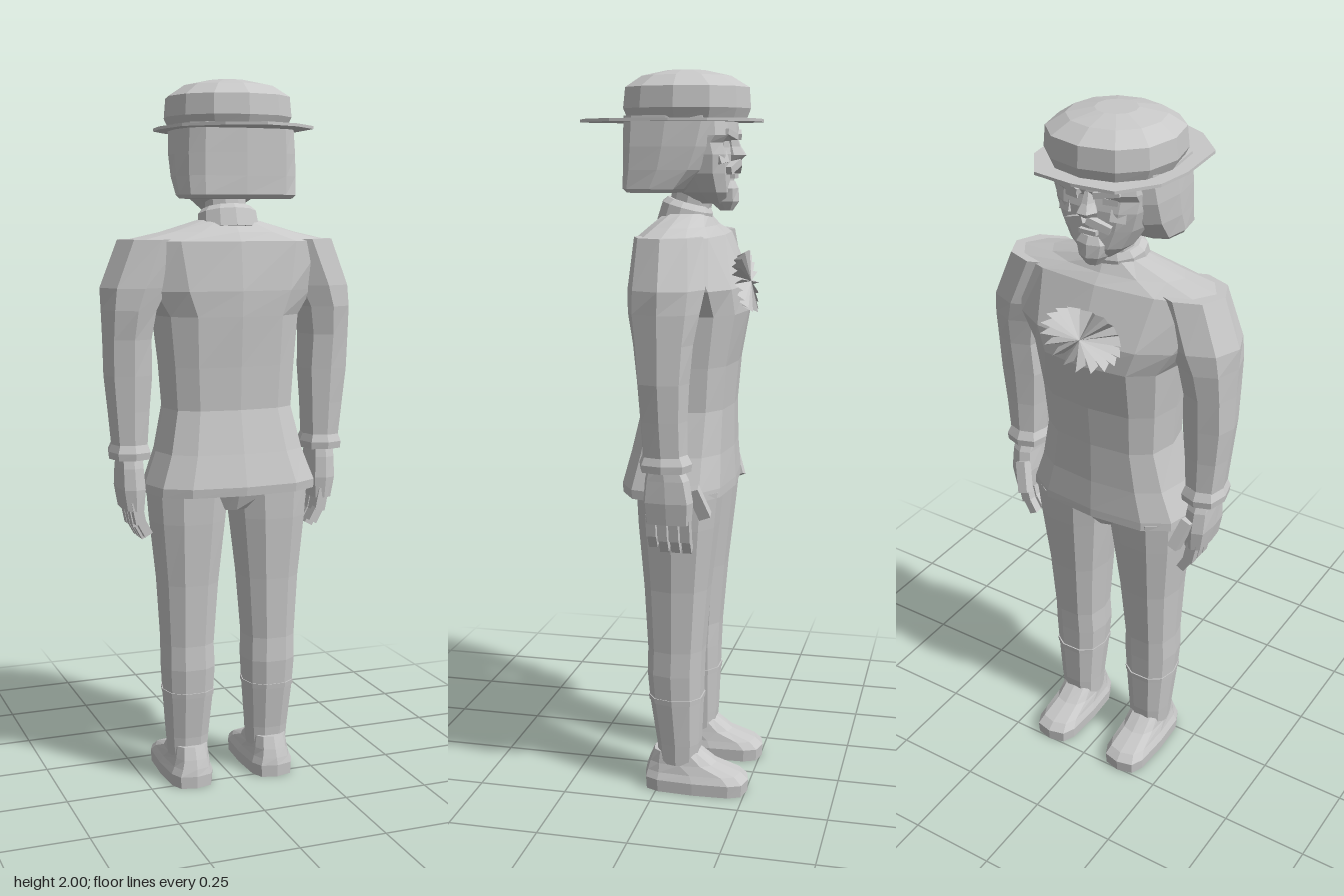
import * as THREE from 'three';

const cloth = new THREE.MeshStandardMaterial({ color: 0xc8c8c8 });
cloth.name = 'plain grey';
const thin = new THREE.MeshStandardMaterial({ color: 0xc8c8c8, side: THREE.DoubleSide });
thin.name = 'plain grey sheet';

// Faceted mesh: every triangle keeps its own normal
function facet(geometry, name, material = cloth) {
  const g = geometry.index ? geometry.toNonIndexed() : geometry;
  g.computeVertexNormals();
  const mesh = new THREE.Mesh(g, material);
  mesh.name = name;
  return mesh;
}

// Closed skin through rings, bottom to top: [y, xCentre, xRadius, zMin, zMax, power]
// A power under 1 gives a squarer outline, over 1 a diamond one.
function loft(name, rings, n = 12) {
  const pos = [], idx = [];
  const bend = (v, p) => Math.sign(v) * Math.pow(Math.abs(v), p);
  rings.forEach(([y, xc, rx, z0, z1, p = 1]) => {
    for (let i = 0; i < n; i++) {
      const a = (i / n) * Math.PI * 2;
      const c = Math.round(Math.cos(a) * 1e6) / 1e6, s = Math.round(Math.sin(a) * 1e6) / 1e6;
      pos.push(xc + rx * bend(c, p), y, (z0 + z1) / 2 + ((z1 - z0) / 2) * bend(s, p));
    }
  });
  for (let r = 0; r < rings.length - 1; r++) {
    for (let i = 0; i < n; i++) {
      const a = r * n + i, b = r * n + (i + 1) % n;
      idx.push(a, a + n, b, b, a + n, b + n);
    }
  }
  const top = (rings.length - 1) * n;
  for (let i = 1; i < n - 1; i++) idx.push(0, i, i + 1, top, top + i + 1, top + i);
  const g = new THREE.BufferGeometry();
  g.setAttribute('position', new THREE.Float32BufferAttribute(pos, 3));
  g.setIndex(idx);
  return facet(g, name);
}

function box(name, size, at, rot = [0, 0, 0]) {
  const m = facet(new THREE.BoxGeometry(...size), name);
  m.position.set(...at);
  m.rotation.set(...rot);
  return m;
}

function makeHead() {
  const head = new THREE.Group();
  head.name = 'head';
  head.add(loft('hair', [
    [1.68, 0, 0.155, -0.055, 0.1, 0.5], [1.69, 0, 0.163, -0.07, 0.11, 0.5],
    [1.74, 0, 0.165, -0.115, 0.11, 0.5], [1.8, 0, 0.165, -0.14, 0.11, 0.5],
    [1.88, 0, 0.16, -0.16, 0.11, 0.5]]));
  head.add(loft('face', [
    [1.65, 0, 0.045, -0.165, -0.07, 0.8], [1.68, 0, 0.085, -0.175, -0.03, 0.8],
    [1.73, 0, 0.115, -0.175, 0, 0.75], [1.78, 0, 0.13, -0.175, 0, 0.7],
    [1.81, 0, 0.135, -0.168, 0, 0.7], [1.83, 0, 0.135, -0.185, 0, 0.7],
    [1.88, 0, 0.13, -0.18, 0, 0.7]]));
  head.add(loft('nose', [
    [1.762, 0, 0.022, -0.195, -0.15], [1.778, 0, 0.028, -0.213, -0.15],
    [1.8, 0, 0.016, -0.198, -0.15], [1.83, 0, 0.011, -0.186, -0.15]], 6));
  head.add(loft('beard', [
    [1.63, 0, 0.02, -0.175, -0.14], [1.655, 0, 0.04, -0.192, -0.11],
    [1.69, 0, 0.05, -0.19, -0.12], [1.71, 0, 0.035, -0.18, -0.13]], 8));
  head.add(box('lowerLip', [0.05, 0.012, 0.02], [0, 1.722, -0.175]));
  for (const s of [-1, 1]) {
    head.add(box('moustache', [0.065, 0.02, 0.03], [s * 0.032, 1.748, -0.176], [0, s * -0.25, s * -0.35]));
    head.add(box('eyebrow', [0.07, 0.016, 0.025], [s * 0.055, 1.832, -0.174], [0, s * -0.2, s * 0.2]));
    head.add(box('eye', [0.04, 0.016, 0.02], [s * 0.055, 1.806, -0.157], [0, s * -0.2, 0]));
    head.add(box('cheek', [0.04, 0.03, 0.02], [s * 0.075, 1.77, -0.156], [0.3, s * -0.4, 0]));
  }
  return head;
}

function makeHat() {
  const hat = new THREE.Group();
  hat.name = 'hat';
  hat.add(loft('hatCrown', [
    [1.87, 0, 0.16, -0.21, 0.115, 0.9], [1.9, 0, 0.175, -0.222, 0.128, 0.9],
    [1.955, 0, 0.17, -0.218, 0.122, 0.9], [1.985, 0, 0.125, -0.168, 0.078, 0.95],
    [2, 0, 0.055, -0.1, 0.01]]));
  // Flat brim with a pointed peak at the back
  const half = [[0, 0.255], [0.1, 0.21], [0.187, 0.12], [0.2, -0.04], [0.185, -0.14], [0.115, -0.238], [0, -0.252]];
  const outline = [...half, ...half.slice(1, -1).reverse().map(([x, z]) => [-x, z])];
  const shape = new THREE.Shape(outline.map(([x, z]) => new THREE.Vector2(x, -z)));
  const brim = facet(new THREE.ExtrudeGeometry(shape, { depth: 0.008, bevelEnabled: false }), 'hatBrim');
  brim.rotation.x = -Math.PI / 2;
  brim.position.y = 1.865;
  hat.add(brim);
  return hat;
}

// Pleated frill spreading to both sides of the chest
function makeFrill() {
  const pos = [], idx = [], n = 36;
  const cy = 1.44;
  pos.push(0, cy, -0.228);
  for (let i = 0; i < n; i++) {
    const a = (i / n) * Math.PI * 2, k = i % 2 ? 1 : 0.82;
    const x = 0.125 * k * Math.cos(a), y = cy + 0.085 * k * Math.sin(a);
    pos.push(x, y, -0.236 + 0.16 * Math.abs(x) + Math.max(0, y - cy) * 0.3 + (i % 2 ? -0.012 : 0.022));
    idx.push(0, i + 1, (i + 1) % n + 1);
  }
  const g = new THREE.BufferGeometry();
  g.setAttribute('position', new THREE.Float32BufferAttribute(pos, 3));
  g.setIndex(idx);
  return facet(g, 'chestFrill', thin);
}

function makeArm(s) {
  const arm = new THREE.Group();
  arm.name = s > 0 ? 'leftArm' : 'rightArm';
  arm.add(loft('sleeve', [
    [0.99, s * 0.29, 0.05, -0.115, 0.005, 0.75], [1.1, s * 0.292, 0.06, -0.115, 0.012, 0.75],
    [1.2, s * 0.293, 0.07, -0.12, 0.02, 0.75], [1.3, s * 0.295, 0.07, -0.13, 0.03, 0.8],
    [1.38, s * 0.288, 0.08, -0.145, 0.045, 0.9], [1.44, s * 0.27, 0.1, -0.155, 0.05, 1],
    [1.57, s * 0.22, 0.1, -0.14, 0.045, 1]], 8));
  arm.add(loft('cuff', [
    [0.965, s * 0.29, 0.058, -0.125, 0.012, 0.75], [0.985, s * 0.29, 0.06, -0.128, 0.015, 0.75],
    [1.01, s * 0.29, 0.05, -0.115, 0.005, 0.75]], 8));
  arm.add(loft('hand', [
    [0.82, s * 0.285, 0.028, -0.125, 0, 0.5], [0.88, s * 0.288, 0.036, -0.13, 0.005, 0.5],
    [0.94, s * 0.29, 0.035, -0.12, 0, 0.6], [0.98, s * 0.29, 0.035, -0.1, -0.01, 0.7]], 8));
  // Four fingers curling inwards, and a thumb to the front
  for (let i = 0; i < 4; i++) {
    const z = -0.015 - i * 0.031, drop = i === 0 ? 0.012 : 0;
    arm.add(box('finger', [0.03, 0.065, 0.026], [s * 0.279, 0.803 + drop, z], [0, 0, s * -0.2]));
    arm.add(box('fingertip', [0.025, 0.05, 0.024], [s * 0.262, 0.76 + drop, z], [0, 0, s * -0.5]));
  }
  arm.add(box('thumb', [0.03, 0.09, 0.032], [s * 0.262, 0.875, -0.14], [0.35, 0, s * -0.3]));
  return arm;
}

function makeLeg(s) {
  const leg = new THREE.Group();
  leg.name = s > 0 ? 'leftLeg' : 'rightLeg';
  leg.add(loft('trouser', [
    [0.08, s * 0.123, 0.058, -0.115, 0, 0.8], [0.14, s * 0.124, 0.062, -0.12, 0.005, 0.8],
    [0.27, s * 0.124, 0.073, -0.125, 0.025, 0.8], [0.35, s * 0.124, 0.078, -0.127, 0.032, 0.8],
    [0.42, s * 0.125, 0.076, -0.13, 0.03, 0.8], [0.6, s * 0.123, 0.088, -0.145, 0.04, 0.8],
    [0.78, s * 0.122, 0.108, -0.165, 0.055, 0.8], [0.88, s * 0.12, 0.118, -0.175, 0.06, 0.8]], 10));
  leg.add(loft('kneeBand', [
    [0.265, s * 0.124, 0.075, -0.128, 0.027, 0.8], [0.28, s * 0.124, 0.076, -0.129, 0.029, 0.8]], 10));
  leg.add(loft('shoe', [
    [0, s * 0.125, 0.066, -0.255, 0.04, 0.55], [0.035, s * 0.125, 0.068, -0.257, 0.042, 0.55],
    [0.055, s * 0.124, 0.06, -0.235, 0.038, 0.6], [0.08, s * 0.123, 0.055, -0.165, 0.03, 0.7],
    [0.115, s * 0.123, 0.05, -0.115, 0.015, 0.7]], 12));
  return leg;
}

export function createModel() {
  const model = new THREE.Group();
  model.name = 'standingMan';
  model.add(makeHead(), makeHat(), makeFrill());
  // Jacket flaring at the hem and widening into sloped shoulders
  model.add(loft('jacket', [
    [0.865, 0, 0.25, -0.19, 0.11, 0.7], [0.89, 0, 0.25, -0.19, 0.113, 0.7],
    [0.98, 0, 0.215, -0.185, 0.09, 0.7], [1.1, 0, 0.187, -0.185, 0.063, 0.7],
    [1.22, 0, 0.195, -0.195, 0.068, 0.7], [1.36, 0, 0.21, -0.222, 0.078, 0.75],
    [1.43, 0, 0.26, -0.218, 0.08, 0.8], [1.565, 0, 0.315, -0.155, 0.065, 0.9],
    [1.59, 0, 0.2, -0.13, 0.045, 0.95], [1.625, 0, 0.08, -0.11, 0.01]]));
  model.add(loft('hips', [[0.81, 0, 0.05, -0.14, 0.03, 0.8], [0.88, 0, 0.22, -0.17, 0.06, 0.8]]));
  model.add(loft('neck', [[1.58, 0, 0.06, -0.1, 0.01], [1.7, 0, 0.06, -0.13, -0.01]], 10));
  // Collar tilted towards the front
  const collar = loft('collar', [
    [-0.03, 0, 0.09, -0.075, 0.075], [0.02, 0, 0.085, -0.072, 0.072], [0.035, 0, 0.07, -0.06, 0.06]]);
  collar.position.set(0, 1.62, -0.045);
  collar.rotation.x = -0.25;
  model.add(collar);
  for (const s of [-1, 1]) model.add(makeArm(s), makeLeg(s));
  return model;
}
